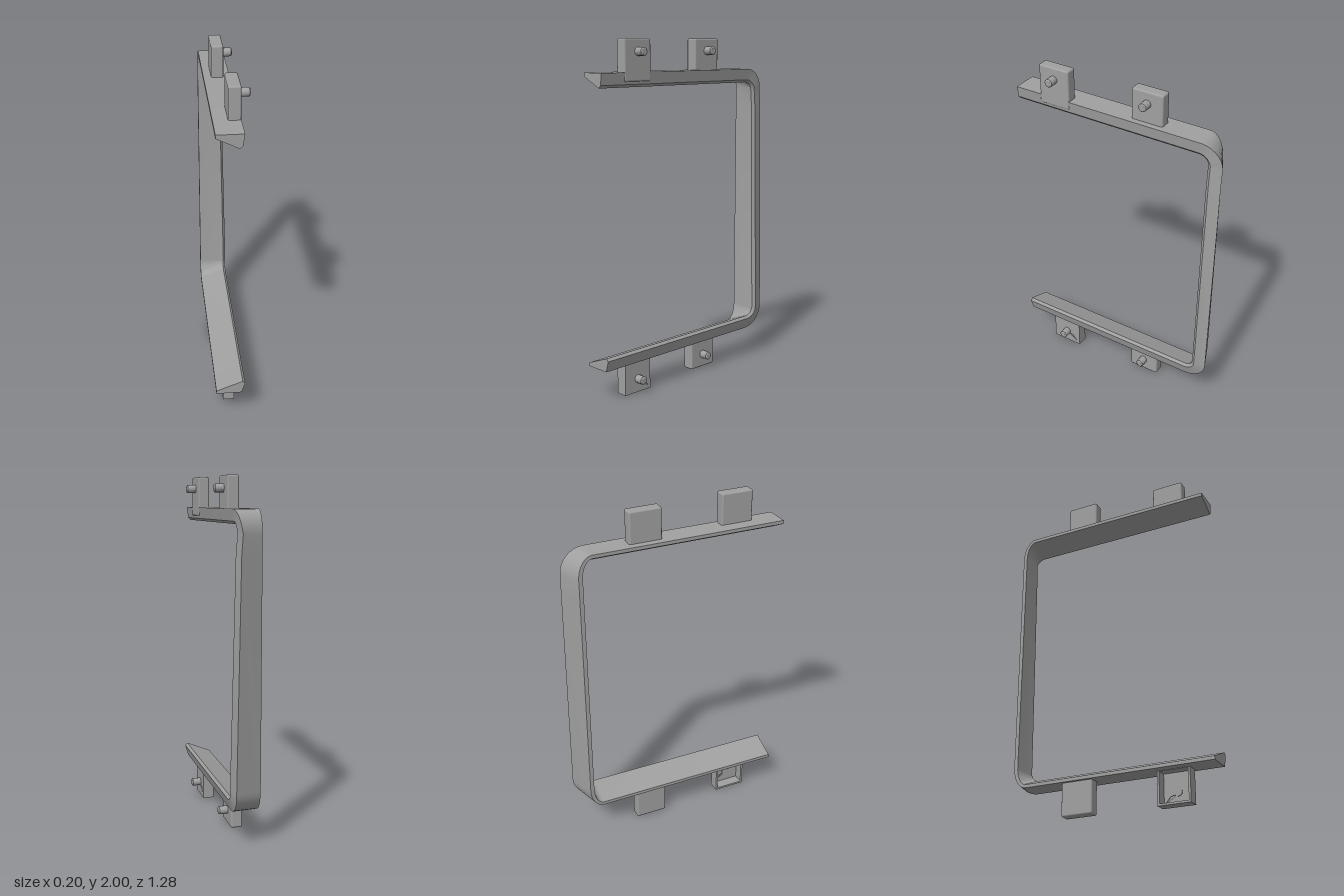
import * as THREE from 'three';
import { toCreasedNormals } from 'three/addons/utils/BufferGeometryUtils.js';
import { RoundedBoxGeometry } from 'three/addons/geometries/RoundedBoxGeometry.js';

const grey = new THREE.MeshStandardMaterial({ color: 0xa0a0a0 });
grey.name = 'plain grey';

// Cross-section points: corner radii in y and z, then x on the top arm,
// at the top and bottom of the upright, and on the bottom arm
const SECTION = [
  { ry: 0.13, rz: 0.08, x: [-0.1, -0.1, -0.1, -0.1] },       // outer thin edge
  { ry: 0.11, rz: 0.057, x: [-0.1, -0.1, -0.1, -0.1] },      // inner thin edge
  { ry: 0.05, rz: 0.057, x: [0.022, 0.022, 0.055, 0.05] },   // inner thick edge
  { ry: 0.065, rz: 0.075, x: [0.036, 0.034, 0.07, 0.064] },  // bevel
  { ry: 0.13, rz: 0.14, x: [0.045, 0.02, 0.05, 0.045] },     // outer thick edge
];

// One ring of the frame; t runs from the arm (0) to the upright (1)
function ring(top, t, zEnd) {
  const a = t * Math.PI / 2;
  return SECTION.map(({ ry, rz, x }) => {
    const arm = top ? x[0] : x[3];
    const upright = top ? x[1] : x[2];
    const y = top ? 1.69 + ry * Math.cos(a) : 0.32 - ry * Math.cos(a);
    const z = zEnd ?? -0.5 - rz * Math.sin(a);
    return new THREE.Vector3(arm + (upright - arm) * t, y, z);
  });
}

// C-shaped wedge frame lofted through the rings
function frameGeometry() {
  const steps = 8;
  const rings = [ring(true, 0, 0.64)];
  for (let i = 0; i <= steps; i++) rings.push(ring(true, i / steps));
  const bend = ring(true, 1);
  bend.forEach((p, j) => { p.y = 1.58; if (j > 1) p.x += 0.008; });
  rings.push(bend);
  for (let i = steps; i >= 0; i--) rings.push(ring(false, i / steps));
  rings.push(ring(false, 0, 0.64));

  const n = SECTION.length;
  const points = [];
  for (let i = 0; i < rings.length - 1; i++) {
    for (let j = 0; j < n; j++) {
      const k = (j + 1) % n;
      const a = rings[i][j], b = rings[i][k], c = rings[i + 1][k], d = rings[i + 1][j];
      points.push(a, d, c, a, c, b);
    }
  }
  const first = rings[0], last = rings[rings.length - 1];
  for (let j = 1; j < n - 1; j++) {
    points.push(first[0], first[j], first[j + 1]);
    points.push(last[0], last[j + 1], last[j]);
  }
  return toCreasedNormals(new THREE.BufferGeometry().setFromPoints(points), 0.5);
}

function add(parent, name, geometry, x = 0, y = 0, z = 0) {
  const mesh = new THREE.Mesh(geometry, grey);
  mesh.name = name;
  mesh.position.set(x, y, z);
  parent.add(mesh);
  return mesh;
}

// Tab hollowed from the -x side, with a chipped face
function hollowTab(parent, x0, x1, y0, y1, z0, z1) {
  const outline = () => new THREE.Shape([
    [-z1, y0], [-z0, y0], [-z0, y1], [-z1, y1],
  ].map(([u, v]) => new THREE.Vector2(u, v)));
  const hole = (pts) => new THREE.Path(pts.map(([u, v]) => new THREE.Vector2(u, v)));
  const w = 0.012;
  const walls = outline();
  walls.holes.push(hole([[-z1 + w, y0 + w], [-z1 + w, y1 - w], [-z0 - w, y1 - w], [-z0 - w, y0 + w]]));
  const face = outline();
  face.holes.push(hole([[-0.38, 0.07], [-0.34, 0.06], [-0.305, 0.018]]));
  const rim = add(parent, 'tabWalls', new THREE.ExtrudeGeometry(walls, { depth: x1 - x0 - 0.006, bevelEnabled: false }), x0);
  const plate = add(parent, 'tabFace', new THREE.ExtrudeGeometry(face, { depth: 0.006, bevelEnabled: false }), x1 - 0.006);
  rim.rotation.y = plate.rotation.y = Math.PI / 2;
}

export function createModel() {
  const model = new THREE.Group();
  model.name = 'bracketFrame';
  add(model, 'frame', frameGeometry());

  // Mounting tabs, each with a chamfered peg on the +x face
  const pegProfile = [[0, -0.035], [0.024, -0.035], [0.024, 0.025], [0.017, 0.03], [0, 0.03]]
    .map(([r, h]) => new THREE.Vector2(r, h));
  const pegGeometry = toCreasedNormals(new THREE.LatheGeometry(pegProfile, 12), 0.6);
  const tabs = [
    { name: 'topFrontTab', x: [-0.022, 0.045], y: [1.77, 2], z: [0.29, 0.48], pegY: 1.93 },
    { name: 'topBackTab', x: [-0.057, 0.01], y: [1.8, 2], z: [-0.275, -0.085], pegY: 1.93 },
    { name: 'bottomFrontTab', x: [-0.047, 0.02], y: [0, 0.2], z: [0.29, 0.48], pegY: 0.08, hollow: true },
    { name: 'bottomBackTab', x: [-0.082, -0.015], y: [0, 0.2], z: [-0.275, -0.085], pegY: 0.08 },
  ];
  for (const { name, x, y, z, pegY, hollow } of tabs) {
    const tab = new THREE.Group();
    tab.name = name;
    if (hollow) hollowTab(tab, ...x, ...y, ...z);
    else {
      add(tab, 'tabBlock', new RoundedBoxGeometry(x[1] - x[0], y[1] - y[0], z[1] - z[0], 2, 0.01),
        (x[0] + x[1]) / 2, (y[0] + y[1]) / 2, (z[0] + z[1]) / 2);
    }
    const peg = add(tab, 'peg', pegGeometry, x[1] + 0.024, pegY, (z[0] + z[1]) / 2);
    peg.rotation.z = -Math.PI / 2;
    model.add(tab);
  }
  return model;
}
